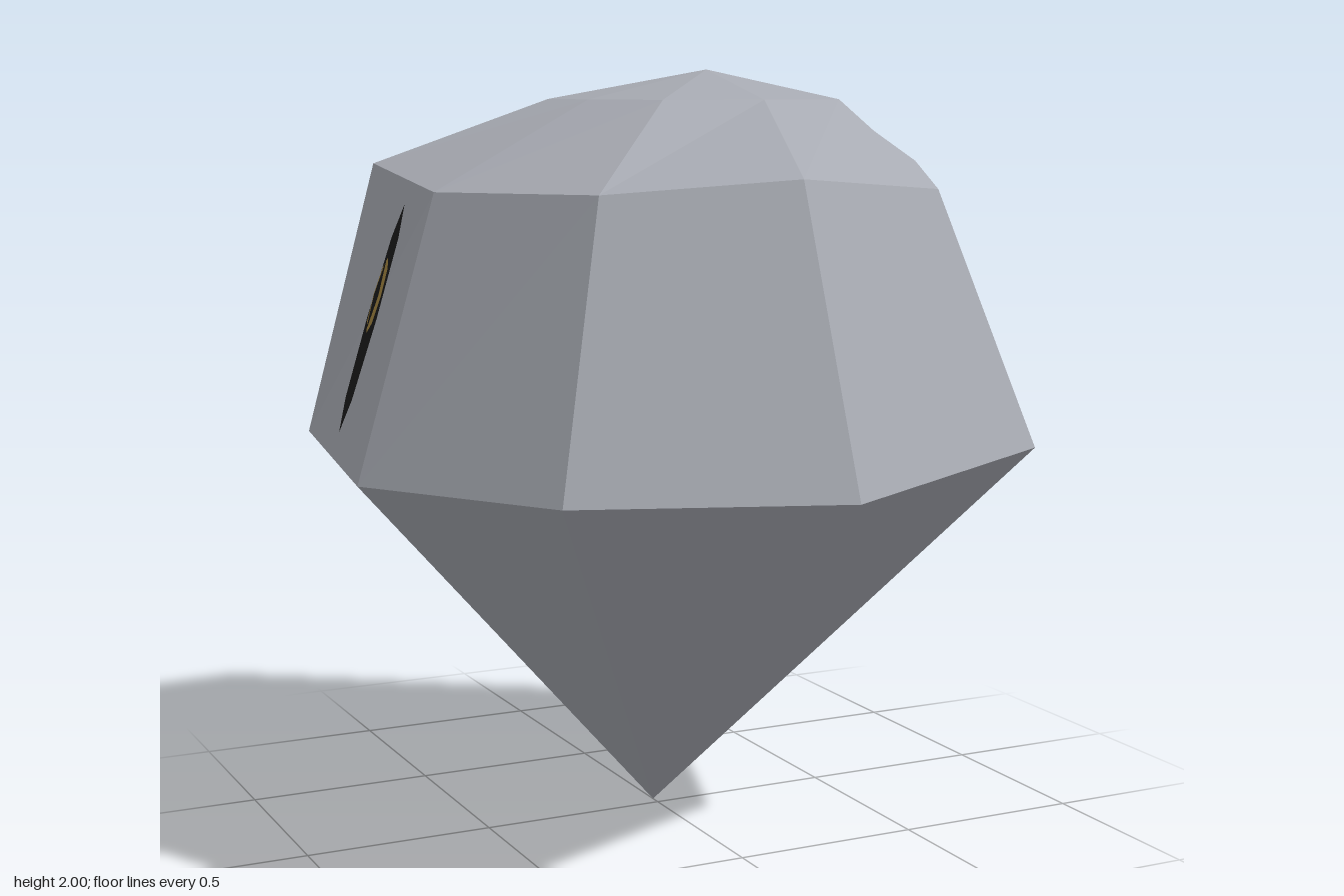
import * as THREE from 'three';

const stone = new THREE.MeshStandardMaterial({ name: 'pale grey stone', color: 0xa8abb3 });
const black = new THREE.MeshStandardMaterial({ name: 'eye black', color: 0x1b1b1b });
const gold = new THREE.MeshStandardMaterial({ name: 'iris gold', color: 0xa38540 });

// Nine-sided rings, from the front round by the model's left
const girdle = [
  [0.05, 1.0, 0.98], [0.71, 1.05, 0.73], [0.9, 1.01, 0.08], [0.81, 0.99, -0.56], [0.27, 0.99, -0.93],
  [-0.4, 1.05, -0.98], [-0.83, 1.03, -0.46], [-0.9, 0.985, 0.17], [-0.6, 1.0, 0.745],
];
const shoulder = [
  [0.07, 1.735, 0.66], [0.56, 1.695, 0.49], [0.78, 1.75, 0.03], [0.62, 1.71, -0.45], [0.26, 1.7, -0.79],
  [-0.24, 1.72, -0.74], [-0.645, 1.75, -0.42], [-0.66, 1.695, 0.09], [-0.4, 1.7, 0.51],
];
const crown = [
  [0.21, 1.92, 0.2], [0.48, 1.92, 0.12], [0.59, 1.92, -0.12], [0.55, 1.935, -0.41], [0.33, 1.92, -0.58],
  [0.04, 1.92, -0.55], [-0.16, 1.92, -0.36], [-0.16, 1.92, -0.09], [-0.06, 1.92, 0.155],
];
const tip = [0, 0, -0.03];
const apex = [0.26, 2, -0.23];

function facets(triangles, name) {
  const geometry = new THREE.BufferGeometry();
  geometry.setAttribute('position', new THREE.Float32BufferAttribute(triangles.flat(2), 3));
  geometry.computeVertexNormals(); // unshared corners give flat facets
  const mesh = new THREE.Mesh(geometry, stone);
  mesh.name = name;
  return mesh;
}

// Band of faces between two rings
function band(low, high, name) {
  const triangles = low.flatMap((a, i) => {
    const j = (i + 1) % low.length;
    return [[a, low[j], high[j]], [a, high[j], high[i]]];
  });
  return facets(triangles, name);
}

// Fan of faces from a ring to a point
function fan(ring, point, up, name) {
  return facets(ring.map((a, i) => {
    const b = ring[(i + 1) % ring.length];
    return up ? [a, b, point] : [b, a, point];
  }), name);
}

// Narrow slit eye lying on a sloping side, from a lower to an upper point
function eye(side, xLow, xHigh, name) {
  const group = new THREE.Group();
  group.name = name;
  const low = new THREE.Vector3(xLow, 1.08, -0.035);
  const high = new THREE.Vector3(xHigh, 1.67, -0.035);
  const up = high.clone().sub(low).normalize();
  const right = new THREE.Vector3(0, 0, -side);
  const out = right.clone().cross(up);
  group.quaternion.setFromRotationMatrix(new THREE.Matrix4().makeBasis(right, up, out));
  group.position.copy(low).lerp(high, 0.5);
  const plate = (sides, width, height, y, z, material, label) => {
    const mesh = new THREE.Mesh(new THREE.CircleGeometry(1, sides, Math.PI / 2), material);
    mesh.scale.set(width, height, 1);
    mesh.position.set(0, y, z);
    mesh.name = label;
    group.add(mesh);
  };
  plate(8, 0.036, 0.3, 0, 0, black, 'eyeSlit');
  plate(8, 0.028, 0.1, 0.06, 0.003, gold, 'iris');
  plate(4, 0.017, 0.1, 0.06, 0.006, black, 'pupil');
  return group;
}

export function createModel() {
  const model = new THREE.Group();
  model.name = 'facetedStone';
  model.add(
    fan(girdle, tip, false, 'lowerPoint'),
    band(girdle, shoulder, 'sideFacets'),
    band(shoulder, crown, 'crownFacets'),
    fan(crown, apex, true, 'topFacets'),
    eye(1, 0.885, 0.787, 'leftEye'),
    eye(-1, -0.882, -0.69, 'rightEye'),
  );
  return model;
}
